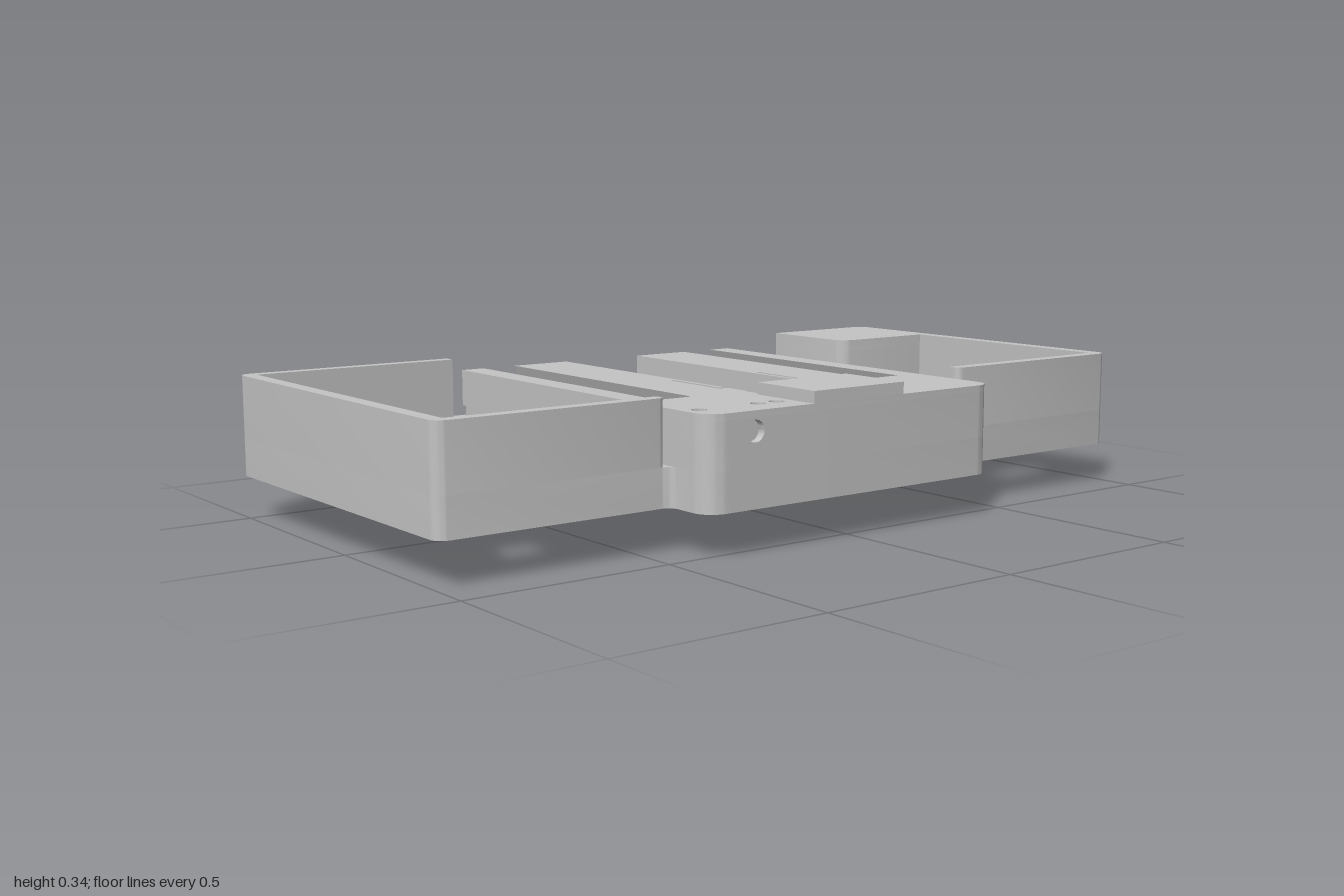
import * as THREE from 'three';
import { toCreasedNormals } from 'three/addons/utils/BufferGeometryUtils.js';

const plastic = new THREE.MeshStandardMaterial({ color: 0xc4c4c4 });
plastic.name = 'grey plastic';

// Closed counter-clockwise outline from [x, z, cornerRadius] points, drawn in plan
function outline(points, Type = THREE.Shape) {
  const path = new Type();
  let corners = points.map(([x, z, r = 0]) => ({ p: new THREE.Vector2(x, -z), r }));
  if (THREE.ShapeUtils.isClockWise(corners.map((c) => c.p))) corners = corners.reverse();
  const n = corners.length;
  corners.forEach(({ p: c, r }, i) => {
    const a = c.clone().add(corners[(i + n - 1) % n].p.clone().sub(c).setLength(r));
    const b = c.clone().add(corners[(i + 1) % n].p.clone().sub(c).setLength(r));
    if (i === 0) path.moveTo(a.x, a.y); else path.lineTo(a.x, a.y);
    if (r > 0) {
      const p = a.clone().lerp(c, 0.5523), q = b.clone().lerp(c, 0.5523);
      path.bezierCurveTo(p.x, p.y, q.x, q.y, b.x, b.y);
    }
  });
  path.closePath();
  return path;
}
const rect = (x0, x1, z0, z1, r = 0) => [[x0, z0, r], [x1, z0, r], [x1, z1, r], [x0, z1, r]];
const rectHole = (...a) => outline(rect(...a), THREE.Path);
const pinHole = (x, z, r = 0.018) => new THREE.Path().absarc(x, -z, r, 0, Math.PI * 2);
const flip = (points) => points.map(([x, z, r]) => [-x, z, r]);

export function createModel() {
  const group = new THREE.Group();

  function add(name, geometry) {
    const mesh = new THREE.Mesh(toCreasedNormals(geometry, 0.6), plastic);
    mesh.name = name;
    group.add(mesh);
  }
  const extrude = (shape, depth) =>
    new THREE.ExtrudeGeometry(shape, { depth, bevelEnabled: false, curveSegments: 8 });
  // Plan outline raised from y0 to y1
  function slab(name, points, y0, y1, holes = []) {
    const shape = outline(points);
    shape.holes.push(...holes);
    add(name, extrude(shape, y1 - y0).rotateX(-Math.PI / 2).translate(0, y0, 0));
  }
  // Front profile carried from z0 to z1
  function rail(name, profile, z0, z1) {
    const shape = new THREE.Shape(profile.map(([x, y]) => new THREE.Vector2(x, y)));
    add(name, extrude(shape, z1 - z0).translate(0, 0, z0));
  }
  function box(name, x0, x1, y0, y1, z0, z1) {
    add(name, new THREE.BoxGeometry(x1 - x0, y1 - y0, z1 - z0)
      .translate((x0 + x1) / 2, (y0 + y1) / 2, (z0 + z1) / 2));
  }

  // Base plate with mounting slots, pin holes, sensor pocket and housing cavity
  const slots = [];
  for (const x of [-0.815, 0.81]) for (const z of [-0.155, 0.255])
    slots.push(rectHole(x - 0.117, x + 0.117, z - 0.055, z + 0.055, 0.054));
  const cornerPins = [[-0.94, 0.36], [-0.47, 0.36], [0.465, 0.36], [0.935, 0.36], [-0.39, 0.46]];
  const floorPins = [[-0.32, 0.257], [0.32, 0.257], [0, 0.32]];
  const pins = (list) => list.map(([x, z]) => pinHole(x, z));
  const pocket = [[-0.15, 0.54], [-0.15, 0.41], [-0.365, 0.41], [-0.365, 0.54]];
  slab('basePlate', [
    [-1, -0.54, 0.03], [1, -0.54, 0.03], [1, -0.51], [0.44, -0.51], [0.44, -0.28],
    [0.965, -0.28], [0.965, -0.25], [1, -0.25], [1, 0.412, 0.03],
    [0.43, 0.412, 0.025], [0.43, 0.54, 0.05], ...pocket,
    [-0.43, 0.54, 0.05], [-0.43, 0.412, 0.025], [-1, 0.412, 0.03],
  ], 0.1, 0.19, [...slots, ...pins([...cornerPins, ...floorPins])]);

  // Tray walls
  slab('rightTrayWall', [
    [-0.44, -0.54], [-1, -0.54, 0.03], [-1, 0.412, 0.03], [-0.445, 0.412, 0.015],
    [-0.445, 0.38], [-0.965, 0.38], [-0.965, -0.51], [-0.44, -0.51],
  ], 0.19, 0.34);
  slab('leftTrayWall', [
    [1, -0.25], [1, 0.412, 0.03], [0.445, 0.412, 0.015], [0.445, 0.38],
    [0.965, 0.38], [0.965, -0.25],
  ], 0.19, 0.34);

  // Raised floor of the rail section, reaching in under the cover
  const channel = [[0.12, 0.28], [0.12, 0.5], [-0.12, 0.5], [-0.12, 0.28]];
  slab('railFloor', [
    [-0.43, -0.48, 0.02], [0.43, -0.48, 0.02], [0.43, 0.28], ...channel, [-0.43, 0.28],
  ], 0.19, 0.225, pins(floorPins));

  // Front block with the channel and the sensor pocket
  const blockBack = [[-0.43, 0.28], ...flip(channel), [0.43, 0.28], [0.43, 0.54, 0.05]];
  slab('frontBlock', [...blockBack, ...pocket, [-0.43, 0.54, 0.05]], 0.19, 0.3,
    [pinHole(-0.39, 0.46)]);
  slab('frontBlockTop', [...blockBack, [-0.43, 0.54, 0.05]], 0.3, 0.315,
    [-0.39, -0.228, -0.175].map((x) => pinHole(x, 0.46)));
  slab('channelCover', rect(-0.135, 0.135, 0.345, 0.54), 0.315, 0.343);

  // Front plate of the pocket with its round hole
  const front = outline(rect(-0.365, -0.15, -0.3, -0.1));
  front.holes.push(pinHole(-0.3, -0.27, 0.025));
  add('pocketFront', extrude(front, 0.02).translate(0, 0, 0.52));

  // Undercut rails, outer fins and spring tongues on both sides
  for (const s of [-1, 1]) {
    const ridge = (inner) => [[inner * s, 0.225], [0.245 * s, 0.225], [0.275 * s, 0.315], [inner * s, 0.315]];
    rail('railBack', ridge(0.115), -0.48, 0.02);
    rail('railMiddle', ridge(0.14), 0.02, 0.21);
    rail('railFront', ridge(0.115), 0.21, 0.28);
    rail('outerFin', [[0.4 * s, 0.225], [0.43 * s, 0.225], [0.43 * s, 0.315], [0.367 * s, 0.315]], -0.48, 0.28);
    box('springTongue', s * 0.121 - 0.006, s * 0.121 + 0.006, 0.225, 0.315, 0.02, 0.2);
  }

  // Raised floor around the cable window
  slab('windowFloor', [
    [0.39, -0.54], [0.66, -0.54], [0.66, -0.25], [0.43, -0.25], [0.43, -0.48], [0.36, -0.48],
  ], 0.17, 0.21, [rectHole(0.465, 0.625, -0.41, -0.305)]);

  // Corner housing: walls, roof and side plate with the large opening
  slab('housingWalls', [
    [0.66, -0.54], [1, -0.54, 0.03], [1, -0.51], [0.7, -0.51], [0.7, -0.28],
    [0.965, -0.28], [0.965, -0.25], [0.66, -0.25, 0.04],
  ], 0.19, 0.31);
  slab('housingRoof', [[0.66, -0.54], [1, -0.54, 0.03], [1, -0.25], [0.66, -0.25, 0.04]], 0.31, 0.34);
  const side = outline(rect(0.25, 0.51, -0.31, -0.1));
  const ring = [];
  for (let i = 0; i < 40; i++) {
    const a = (i / 40) * Math.PI * 2;
    ring.push(new THREE.Vector2(0.395 + 0.092 * Math.cos(a),
      0.19 + THREE.MathUtils.clamp(0.092 * Math.sin(a), -0.085, 0.083)));
  }
  side.holes.push(new THREE.Path(ring));
  add('housingSide', extrude(side, 0.035).rotateY(Math.PI / 2).translate(0.965, 0, 0));
  box('housingInnerLedge', 0.7, 0.9, 0.1, 0.165, -0.44, -0.28);
  box('housingInnerWall', 0.7, 0.73, 0.165, 0.31, -0.44, -0.28);

  // Lower compartment: sloped end, frame and recessed rim
  const lower = [[0.39, -0.54], [1, -0.54, 0.03], [1, -0.25, 0.01], [0.39, -0.25]];
  slab('lowerFrame', lower, 0.015, 0.1, [rectHole(0.46, 0.94, -0.49, -0.3)]);
  slab('lowerRim', lower, 0, 0.015, [rectHole(0.42, 0.97, -0.515, -0.275, 0.015)]);
  rail('lowerSlope', [[0.34, 0.1], [0.39, 0], [0.39, 0.1]], -0.54, -0.25);

  return group;
}
